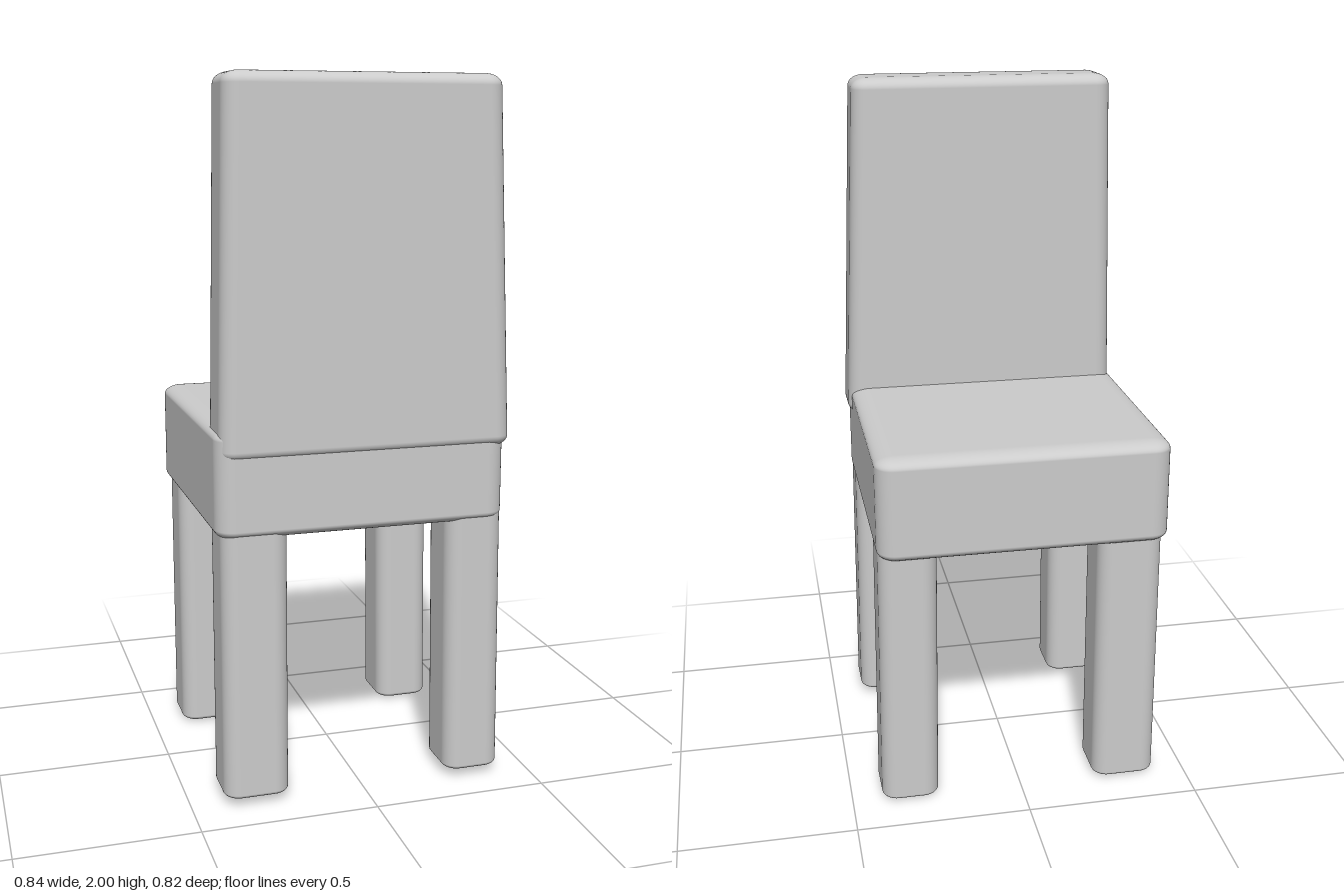
import * as THREE from 'three';
import { RoundedBoxGeometry } from 'three/addons/geometries/RoundedBoxGeometry.js';

const material = new THREE.MeshStandardMaterial({ color: 0xcccccc });

// Rounded block between two corners; squash < 1 makes the top and bottom edges tighter
function block(name, [x0, y0, z0], [x1, y1, z1], radius, squash = 1) {
  const geometry = new RoundedBoxGeometry(x1 - x0, (y1 - y0) / squash, z1 - z0, 5, radius);
  geometry.scale(1, squash, 1);
  geometry.translate((x0 + x1) / 2, (y0 + y1) / 2, (z0 + z1) / 2);
  const mesh = new THREE.Mesh(geometry, material);
  mesh.name = name;
  return mesh;
}

// Slide the sides in linearly with height: left and right are the shifts at yEnd
function taper(mesh, yStart, yEnd, left, right) {
  const p = mesh.geometry.attributes.position;
  for (let i = 0; i < p.count; i++) {
    const t = (p.getY(i) - yStart) / (yEnd - yStart);
    p.setX(i, p.getX(i) + t * (p.getX(i) > 0 ? left : right));
  }
  p.needsUpdate = true;
  return mesh;
}

export function createModel() {
  const chair = new THREE.Group();
  chair.name = 'chair';

  // Thick cushion-like seat
  chair.add(block('seat', [-0.422, 0.77, -0.41], [0.408, 1.072, 0.406], 0.055, 0.5));

  // Tall backrest, narrower towards the top
  const backrest = block('backrest', [-0.412, 0.985, 0.23], [0.42, 2, 0.412], 0.045, 0.7);
  chair.add(taper(backrest, 0.985, 2, -0.044, 0.022));

  // Four square legs with soft edges, sunk into the seat
  for (const [end, y, z0, z1] of [['front', 0.018, 0.22, 0.4], ['back', 0.0, -0.39, -0.205]]) {
    const leftLeg = block(end + 'LeftLeg', [0.246, y, z0], [0.412, 0.9, z1], 0.045, 0.4);
    const rightLeg = block(end + 'RightLeg', [-0.408, y, z0], [-0.222, 0.9, z1], 0.045, 0.4);
    chair.add(taper(leftLeg, 0, 0.9, -0.008, 0), rightLeg);
  }
  return chair;
}
